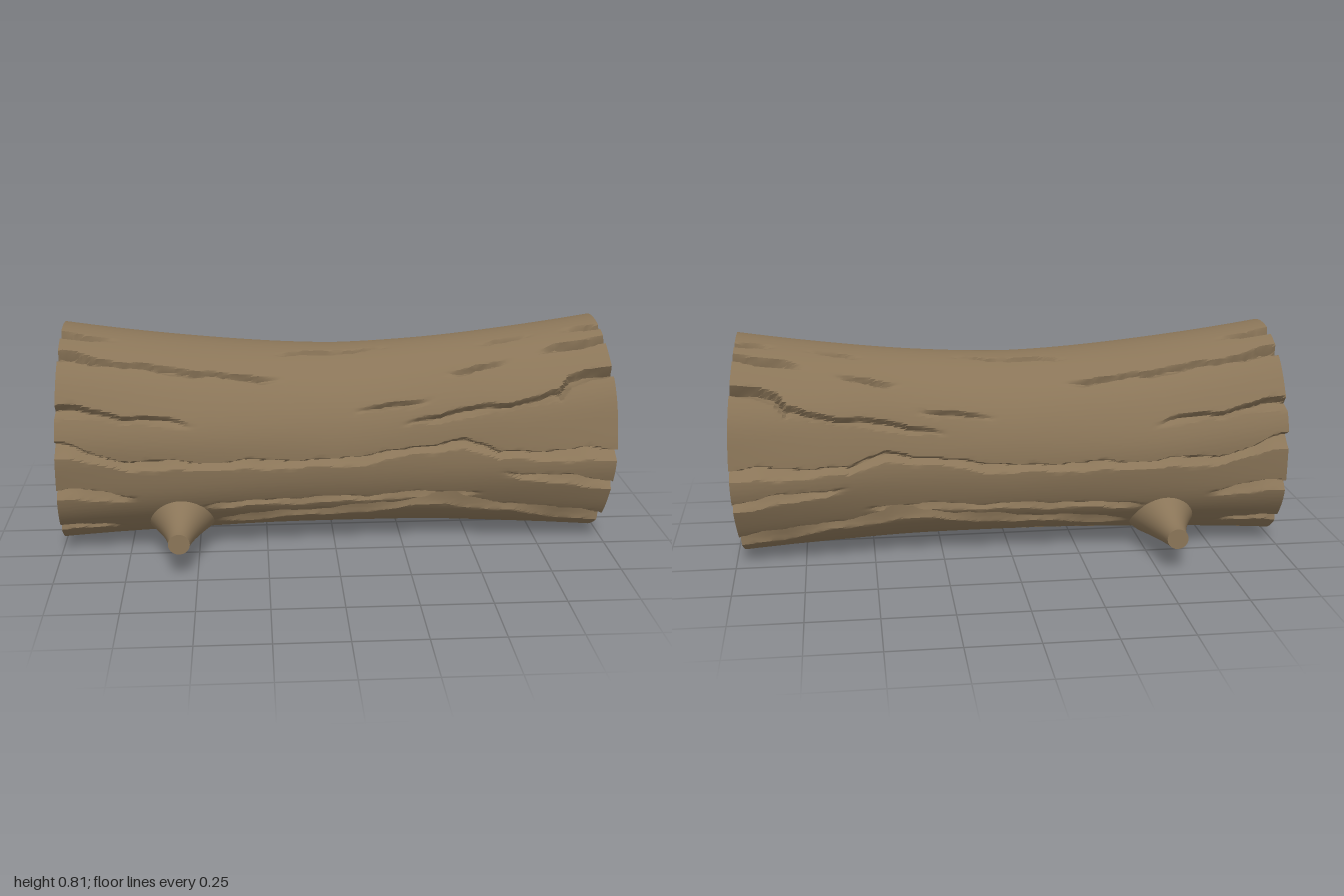
import * as THREE from 'three';
import { toCreasedNormals } from 'three/addons/utils/BufferGeometryUtils.js';

const TAU = Math.PI * 2;
const { lerp, clamp, smoothstep } = THREE.MathUtils;
const hump = (x, centre, width) => Math.exp(-(((x - centre) / width) ** 2));

// Long winding cracks: width, then [x, degrees down from the top]; both sides share them
const longCracks = [
  [0.075, [-1.1, 80], [-0.75, 92], [0, 92], [0.45, 84], [0.6, 91], [1.1, 92]],
  [0.15, [-0.45, 139], [0.1, 131], [0.4, 124], [1.1, 141]],
  [0.075, [0.22, 71], [0.8, 59], [0.84, 51], [1.1, 46]],
];

// Short straight cracks: start x, degrees, end x, degrees
const shortCracks = [
  [-1.1, 63, -0.5, 69], [-1.1, 32, -0.18, 40], [-1.1, 107, -0.7, 113], [-0.5, 121, 0.55, 118],
  [0.04, 61, 0.36, 57], [0.38, 41, 0.66, 35], [0.72, 31, 1.1, 25], [0.58, 102, 1.1, 112],
  [-1.1, 134, -0.76, 140], [-0.24, 17, 0.22, 10], [0.52, 17, 0.76, 15],
  [-1.1, 14, -0.78, 16], [0.84, 14, 1.1, 15], [-1.1, 161, 0, 158], [0.1, 165, 1.1, 162],
];
const cracks = [
  ...longCracks.map(([w, ...path]) => ({ w, d: 0.034, path })),
  ...shortCracks.map(([x0, t0, x1, t1]) => ({ w: 0.065, d: 0.027, path: [[x0, t0], [x1, t1]] })),
];

// Depth of the cracks: a steep upper lip and a slope that rises back below it
function crackDepth(x, theta) {
  const t = Math.min(theta, TAU - theta);
  let depth = 0;
  for (const { w, d, path } of cracks) {
    const x0 = path[0][0], x1 = path.at(-1)[0];
    if (x <= x0 || x >= x1) continue;
    const k = path.findIndex((p) => p[0] > x);
    const [a, b] = [path[k - 1], path[k]];
    const wobble = 0.012 * Math.sin(x * 23 + a[1] * 3) + 0.006 * Math.sin(x * 51 + x0 * 9);
    const line = lerp(a[1], b[1], (x - a[0]) / (b[0] - a[0])) * Math.PI / 180 + wobble;
    const taper = smoothstep(Math.min(x - x0, x1 - x), 0, 0.12);
    const flare = 1 + 0.5 * smoothstep(Math.abs(x), 0.75, 1);
    const width = w * flare * (0.35 + 0.65 * taper) * (0.85 + 0.25 * Math.sin(x * 17 + x1 * 40));
    const s = t - line + width / 2;
    const lip = clamp(s / 0.03, 0, 1);
    const slope = clamp((width + 0.03 - s) / width, 0, 1);
    depth = Math.max(depth, d * flare * taper * lip * Math.pow(slope, 0.7));
  }
  return depth;
}

// A point on the waisted trunk; e runs from -1 to 1 between the slightly bowed ends
function trunkPoint(e, theta, scale = (f) => f) {
  const top = 0.715 + 0.094 * Math.abs(e) ** 1.6;
  const bottom = 0.04 - 0.037 * e * e;
  const halfZ = 0.315 + 0.047 * e * e + 0.022 * hump(e, -0.5, 0.28) - 0.025 * hump(e, 0.38, 0.2);
  const lump = 0.004 * Math.sin(theta * 9 + e * 2) * Math.abs(e) * Math.sin(theta) ** 2;
  const f = scale(1 - (crackDepth(e, theta) + lump) / 0.36);
  const y = (top + bottom) / 2 + (top - bottom) / 2 * Math.cos(theta) * f;
  const left = -1 + 0.03 * y, right = 0.998 - 0.18 * (y - 0.42) ** 2;
  return [lerp(left, right, (e + 1) / 2), y, halfZ * Math.sin(theta) * f];
}

// Surface of closed loops: u steps between loops, v goes round each loop
function loft(point, nu, nv, flip = false) {
  const pos = [], index = [];
  for (let i = 0; i <= nu; i++) {
    for (let j = 0; j < nv; j++) pos.push(...point(i / nu, j / nv * TAU));
  }
  for (let i = 0; i < nu; i++) {
    for (let j = 0; j < nv; j++) {
      const a = i * nv + j, b = i * nv + (j + 1) % nv, c = a + nv, d = b + nv;
      if (flip) index.push(a, c, b, b, c, d);
      else index.push(a, b, c, b, d, c);
    }
  }
  const g = new THREE.BufferGeometry();
  g.setAttribute('position', new THREE.Float32BufferAttribute(pos, 3));
  g.setIndex(index);
  g.computeVertexNormals();
  return g;
}

// A point on a branch stub: wide at the root inside the trunk, narrow at the tip
function branchPoint(u, v, side, scale = 1) {
  const swell = (1 - u) ** 1.8;
  const low = 0.093 - 0.05 * (1 - u), high = 0.167 + 0.16 * swell;
  return [
    -0.562 + (0.038 + 0.11 * swell) * scale * Math.cos(v),
    (low + high) / 2 + (high - low) / 2 * scale * Math.sin(v),
    side * lerp(0.2, 0.48, u),
  ];
}

export function createModel() {
  const material = (name, color) => {
    const m = new THREE.MeshStandardMaterial({ color });
    m.name = name;
    return m;
  };
  const barkBrown = material('bark brown', 0x8a7558);
  const rimBrown = material('rim grey brown', 0x7f705a);
  const woodOrange = material('cut wood orange', 0xad6430);

  const model = new THREE.Group();
  model.name = 'log';
  const add = (name, geometry, mat) => {
    const mesh = new THREE.Mesh(geometry, mat);
    mesh.name = name;
    model.add(mesh);
  };

  // Bark
  add('bark', toCreasedNormals(loft((u, v) => trunkPoint(u * 2 - 1, v), 140, 360), 0.6), barkBrown);

  // Cut ends: a bark rim around a disc of wood
  const core = (f) => Math.min(0.89, f - 0.012);
  for (const [side, e] of [['left', 1], ['right', -1]]) {
    add(side + 'Rim', loft((u, v) => trunkPoint(e, v, (f) => lerp(core(f), f, u)), 1, 360, e > 0), rimBrown);
    add(side + 'CutWood', loft((u, v) => trunkPoint(e, v, (f) => core(f) * u), 4, 360, e > 0), woodOrange);
  }

  // Branch stubs on the front and back, flared where they meet the trunk
  for (const [name, s] of [['frontBranch', 1], ['backBranch', -1]]) {
    add(name, loft((u, v) => branchPoint(u, v, s), 24, 32, s < 0), barkBrown);
    add(name + 'Tip', loft((u, v) => branchPoint(1, v, s, 1 - u), 1, 32, s < 0), barkBrown);
  }
  return model;
}
